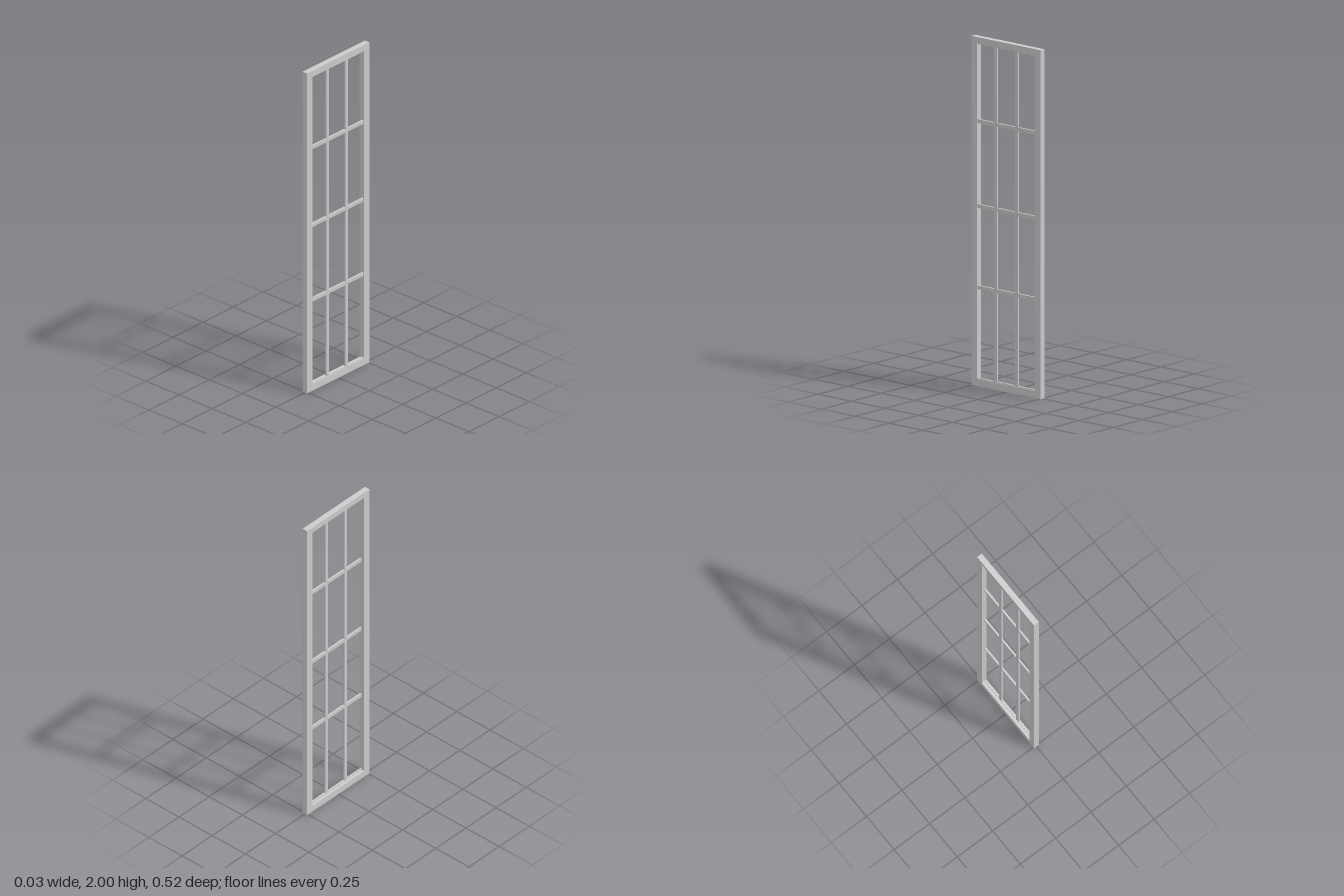
import * as THREE from 'three';

const material = new THREE.MeshStandardMaterial({ color: 0xcccccc, flatShading: true });

// Box given by its extents along each axis
function bar(name, [x0, x1], [y0, y1], [z0, z1]) {
  const geometry = new THREE.BoxGeometry(x1 - x0, y1 - y0, z1 - z0);
  geometry.translate((x0 + x1) / 2, (y0 + y1) / 2, (z0 + z1) / 2);
  const mesh = new THREE.Mesh(geometry, material);
  mesh.name = name;
  return mesh;
}

function rectangle(path, halfWidth, bottom, top) {
  path.moveTo(-halfWidth, bottom);
  path.lineTo(halfWidth, bottom);
  path.lineTo(halfWidth, top);
  path.lineTo(-halfWidth, top);
  path.closePath();
  return path;
}

export function createModel() {
  const group = new THREE.Group();
  group.name = 'windowPanel';

  const halfDepth = 0.017, halfWidth = 0.258;
  const innerHalf = 0.215, innerBottom = 0.04, innerTop = 1.965;
  const barDepth = [0.002, 0.013]; // glazing bars sit near the +x face
  const half = 0.0108;

  // Outer frame with one large opening
  const outline = rectangle(new THREE.Shape(), halfWidth, 0, 2);
  outline.holes.push(rectangle(new THREE.Path(), innerHalf, innerBottom, innerTop));
  const frameGeometry = new THREE.ExtrudeGeometry(outline, { depth: 2 * halfDepth, bevelEnabled: false });
  frameGeometry.translate(0, 0, -halfDepth);
  frameGeometry.rotateY(Math.PI / 2);
  const frame = new THREE.Mesh(frameGeometry, material);
  frame.name = 'frame';
  group.add(frame);

  // Narrow stops along the top and bottom of the opening
  const span = [-innerHalf, innerHalf];
  group.add(bar('topStop', barDepth, [innerTop - 0.006, innerTop], span));
  group.add(bar('bottomStop', barDepth, [innerBottom, innerBottom + 0.006], span));

  // Upright glazing bars
  for (const z of [0.082, -0.074]) {
    group.add(bar('uprightBar', barDepth, [innerBottom, innerTop], [z - half, z + half]));
  }

  // Cross glazing bars
  for (const y of [0.565, 1.031, 1.518]) {
    group.add(bar('crossBar', barDepth, [y - half, y + half], span));
  }
  return group;
}
